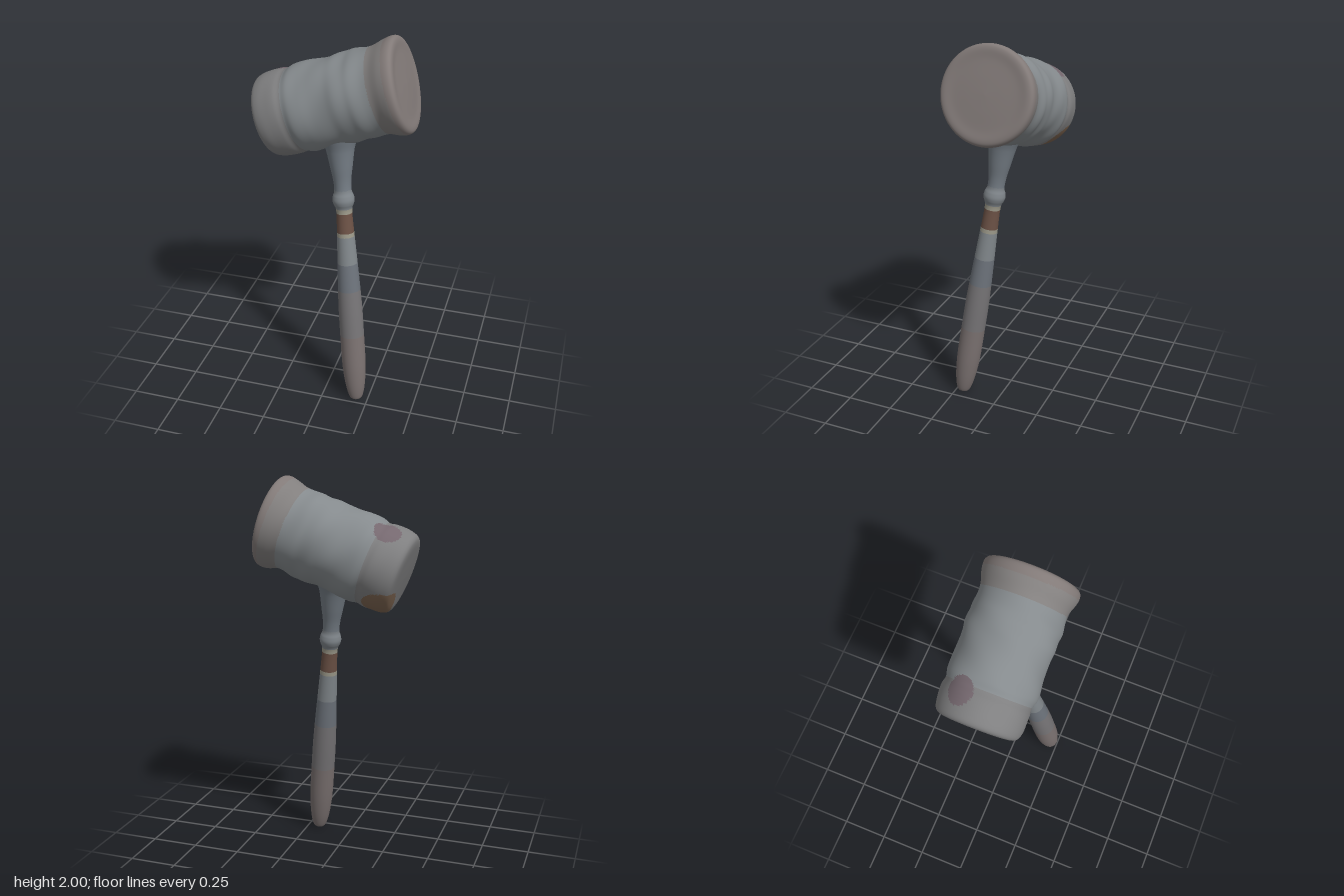
import * as THREE from 'three';
import { mergeVertices } from 'three/addons/utils/BufferGeometryUtils.js';

const vec = ([r, y]) => new THREE.Vector2(r, y);

// smooth profile through [radius, height] points
const profile = (pts, n) => new THREE.SplineCurve(pts.map(vec)).getPoints(n)
  .map(p => new THREE.Vector2(Math.max(p.x, 0), p.y));

// weld the seam of a lathe so that its normals are smooth all round
function weld(geo) {
  geo.deleteAttribute('uv');
  geo.deleteAttribute('normal');
  const merged = mergeVertices(geo, 1e-5);
  merged.computeVertexNormals();
  return merged;
}

// worn, slightly lumpy surface: vary the radius around and along the head
function weather(geo) {
  const pos = geo.attributes.position;
  for (let i = 0; i < pos.count; i++) {
    const x = pos.getX(i), y = pos.getY(i), z = pos.getZ(i);
    const a = Math.atan2(z, x);
    const mid = Math.max(0, 1 - Math.pow(y / 0.33, 4));
    const k = 1 + mid * (0.010 * Math.sin(3 * a + y * 22) + 0.008 * Math.sin(5 * a - y * 34 + 1))
      + 0.006 * Math.sin(2 * a + 2);
    // the upper side of the large face leans outwards
    const lean = y > 0.2 ? -x * 0.06 * Math.min(1, (y - 0.2) / 0.12) : 0;
    pos.setXYZ(i, x * k, y + lean, z * k);
  }
  return geo;
}

// one mesh per zone: each triangle goes to the first zone whose test holds at its centre
function paintZones(geo, zones) {
  const group = new THREE.Group();
  const pos = geo.attributes.position, index = geo.index.array;
  const lists = zones.map(() => []);
  const centre = new THREE.Vector3(), corner = new THREE.Vector3();
  for (let i = 0; i < index.length; i += 3) {
    const tri = [index[i], index[i + 1], index[i + 2]];
    centre.set(0, 0, 0);
    tri.forEach(v => centre.add(corner.fromBufferAttribute(pos, v)));
    centre.divideScalar(3);
    lists[zones.findIndex(z => z.test(centre))].push(...tri);
  }
  zones.forEach(({ name, color }, i) => {
    const zone = geo.clone();
    zone.setIndex(lists[i]);
    const mesh = new THREE.Mesh(zone, new THREE.MeshStandardMaterial({ color }));
    mesh.name = name;
    group.add(mesh);
  });
  return group;
}

export function createModel() {
  const model = new THREE.Group();
  model.name = 'mallet';

  // head: a barrel with folds, a rolled small end and a flared large end
  const headProfile = profile([
    [0, -0.382], [0.1, -0.38], [0.17, -0.376], [0.2, -0.362], [0.213, -0.328], [0.217, -0.28],
    [0.217, -0.24], [0.212, -0.205], [0.222, -0.165], [0.221, -0.11], [0.217, -0.05], [0.216, 0.02],
    [0.221, 0.07], [0.219, 0.12], [0.221, 0.16], [0.214, 0.215], [0.216, 0.255], [0.231, 0.3],
    [0.238, 0.337], [0.232, 0.362], [0.21, 0.372], [0.16, 0.37], [0.08, 0.373], [0, 0.375],
  ], 160);
  const headGeo = weld(weather(new THREE.LatheGeometry(headProfile, 96)));
  // local +x is the underside of the head, -z its back
  const near = (p, x, y, z, r) => Math.hypot(p.x - x, p.y - y, p.z - z) < r;
  const head = paintZones(headGeo, [
    { name: 'wornPatch', color: 0x7c6450, test: p => near(p, 0.16, -0.34, -0.13, 0.1) },
    { name: 'bruise', color: 0x75686f, test: p => near(p, -0.2, -0.24, -0.1, 0.07) },
    { name: 'largeFace', color: 0x827a78, test: p => p.y > 0.33 },
    { name: 'largeRim', color: 0x827f7e, test: p => p.y > 0.24 },
    { name: 'smallEnd', color: 0x7f7f80, test: p => p.y < -0.205 },
    { name: 'barrel', color: 0x858a8d, test: () => true },
  ]);
  head.name = 'head';
  head.position.set(0.005, 1.652, -0.018);
  head.rotation.z = -THREE.MathUtils.degToRad(70.5);
  model.add(head);

  // handle: one turned profile, coloured in zones along its length
  const handleProfile = profile([
    [0, 0], [0.022, 0.003], [0.037, 0.02], [0.051, 0.08], [0.06, 0.16], [0.064, 0.25],
    [0.064, 0.4], [0.063, 0.55], [0.057, 0.72], [0.05, 0.87], [0.045, 0.98], [0.041, 1.08],
    [0.043, 1.12], [0.053, 1.145], [0.057, 1.165], [0.053, 1.187], [0.044, 1.215], [0.046, 1.27],
    [0.057, 1.34], [0.068, 1.41], [0.077, 1.45], [0.095, 1.5],
  ], 200);
  const below = h => p => p.y < h;
  const handle = paintZones(weld(new THREE.LatheGeometry(handleProfile, 40)), [
    { name: 'gripEnd', color: 0x79706f, test: below(0.4) },
    { name: 'gripMiddle', color: 0x757375, test: below(0.66) },
    { name: 'gripUpper', color: 0x6c727a, test: below(0.82) },
    { name: 'gripTop', color: 0x80868a, test: below(0.965) },
    { name: 'lowerTrim', color: 0x9a9788, test: below(0.985) },
    { name: 'band', color: 0x6b5145, test: below(1.095) },
    { name: 'upperTrim', color: 0x9a9788, test: below(1.12) },
    { name: 'collar', color: 0x7d8388, test: below(1.22) },
    { name: 'neck', color: 0x737b83, test: () => true },
  ]);
  handle.name = 'handle';
  handle.position.set(0.188, 0.003, 0.211);
  handle.quaternion.setFromUnitVectors(
    new THREE.Vector3(0, 1, 0), new THREE.Vector3(-0.104, 1, -0.127).normalize());
  model.add(handle);
  return model;
}
